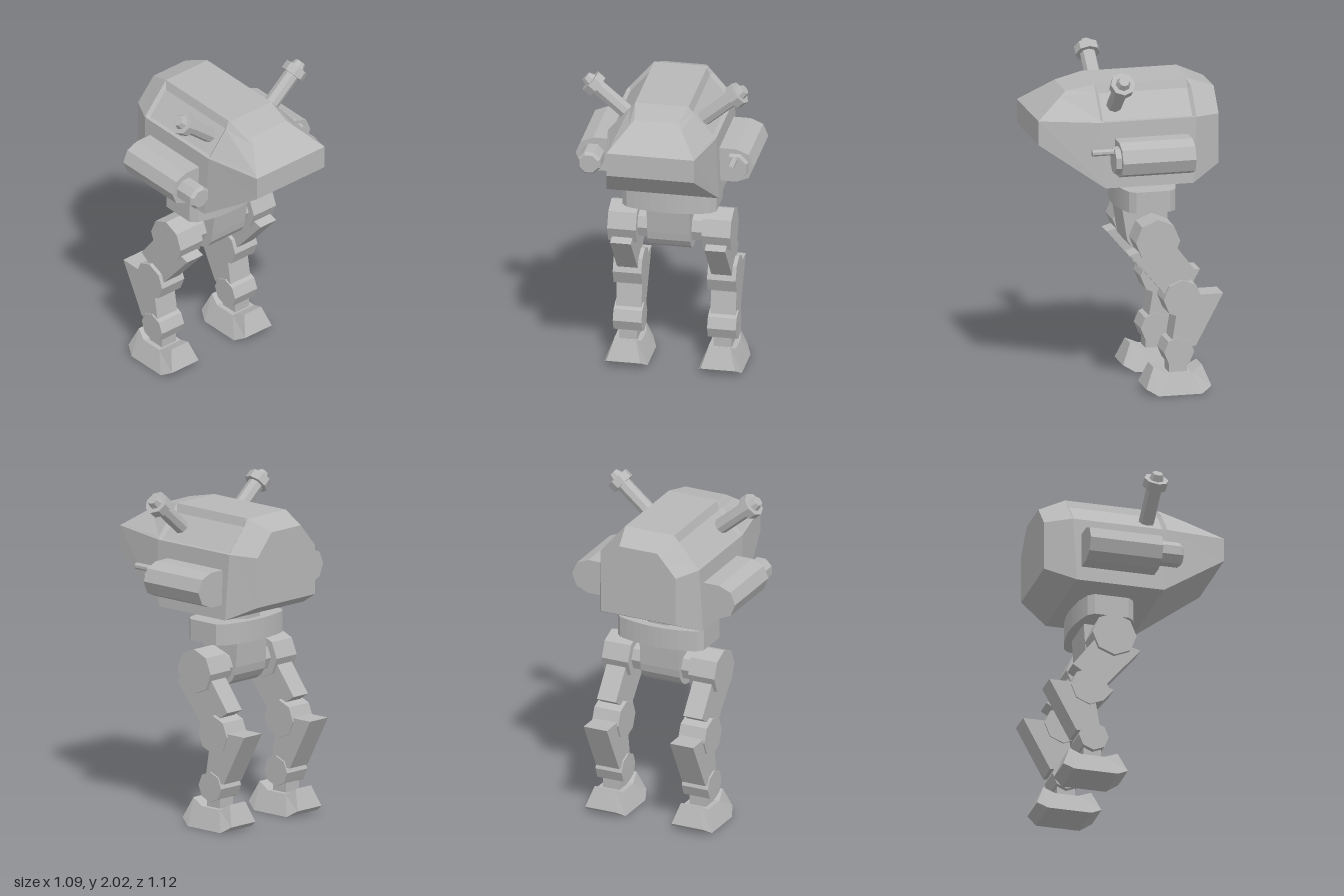
import * as THREE from 'three';

const grey = new THREE.MeshStandardMaterial({ color: 0xb8b8b8, flatShading: true });
grey.name = 'plain grey';

function add(parent, name, geometry, x = 0, y = 0, z = 0) {
  const mesh = new THREE.Mesh(geometry, grey);
  mesh.name = name;
  mesh.position.set(x, y, z);
  parent.add(mesh);
  return mesh;
}

// Skin over cross-sections ordered back to front; each lists its +x half from bottom to top
function loft(halves) {
  const rings = halves.map(h => [...h, ...h.map(([x, y, z]) => [-x, y, z]).reverse()]);
  const pos = [];
  const quad = (a, b, c, d) => pos.push(...a, ...b, ...c, ...a, ...c, ...d);
  const n = rings[0].length;
  for (let i = 0; i < rings.length - 1; i++) {
    for (let j = 0; j < n; j++) {
      const k = (j + 1) % n;
      quad(rings[i][j], rings[i][k], rings[i + 1][k], rings[i + 1][j]);
    }
  }
  const back = rings[0], front = rings[rings.length - 1];
  for (let j = 0; j < n / 2 - 1; j++) {
    quad(front[j], front[j + 1], front[n - 2 - j], front[n - 1 - j]);
    quad(back[n - 1 - j], back[n - 2 - j], back[j + 1], back[j]);
  }
  const g = new THREE.BufferGeometry();
  g.setAttribute('position', new THREE.Float32BufferAttribute(pos, 3));
  g.computeVertexNormals();
  return g;
}

function extrude(points, depth) {
  const shape = new THREE.Shape(points.map(([x, y]) => new THREE.Vector2(x, y)));
  return new THREE.ExtrudeGeometry(shape, { depth, bevelEnabled: false }).translate(0, 0, -depth / 2);
}

// Side profile given as [z, y], centred across x
const sidePlate = (points, width) => extrude(points, width).rotateY(-Math.PI / 2);

// Octagonal joint lying along x
const joint = (r, width) => new THREE.CylinderGeometry(r, r, width, 8).rotateZ(Math.PI / 2);

// Octagonal barrel lying along z
const barrel = (rFront, rBack, length) =>
  new THREE.CylinderGeometry(rFront, rBack, length, 8).rotateY(Math.PI / 8).rotateX(Math.PI / 2);

function buildHull() {
  const mix = (a, b, t) => a.map((v, i) => v + (b[i] - v) * t);
  // section with two extra points on the slanted shoulder, pushed in by the recess
  const section = (bottom, mid, top, recess = 0) => {
    const sink = ([x, y, z]) => [x - 0.77 * recess, y - 0.64 * recess, z];
    return [bottom, mid, sink(mix(mid, top, 0.07)), sink(mix(mid, top, 0.8)), top];
  };
  const mainSection = (zBottom, z, recess) =>
    section([0.343, 1.29, zBottom], [0.33, 1.695, z], [0.163, 1.89, z], recess);
  return loft([
    section([0.25, 1.38, -0.557], [0.25, 1.685, -0.557], [0.127, 1.825, -0.557]),
    mainSection(-0.377, -0.4),
    mainSection(-0.36, -0.38, 0.02),
    mainSection(0.15, 0.17, 0.02),
    mainSection(0.165, 0.19),
    section([0.267, 1.565, 0.56], [0.267, 1.712, 0.56], [0.135, 1.855, 0.36])
  ]);
}

function buildLeg() {
  const leg = new THREE.Group();
  add(leg, 'hipJoint', joint(0.137, 0.175), 0, 0.945, -0.152);
  add(leg, 'thigh', sidePlate(
    [[0.015, 0.865], [-0.21, 0.6], [-0.405, 0.725], [-0.25, 0.93], [-0.1, 0.9]], 0.126));
  add(leg, 'kneeJoint', joint(0.118, 0.175), 0, 0.58, -0.305);
  add(leg, 'shin', sidePlate(
    [[-0.27, 0.6], [-0.556, 0.6], [-0.387, 0.285], [-0.235, 0.285], [-0.265, 0.47]], 0.155));
  add(leg, 'ankleJoint', joint(0.093, 0.175), 0, 0.255, -0.282);
  add(leg, 'anklePost', new THREE.BoxGeometry(0.11, 0.12, 0.11), 0, 0.16, -0.282);
  add(leg, 'foot', loft([
    [[0.105, 0.04, -0.477], [0.066, 0.165, -0.427]],
    [[0.134, 0, -0.415], [0.085, 0.125, -0.36]],
    [[0.134, 0, -0.145], [0.085, 0.125, -0.215]],
    [[0.105, 0.04, -0.075], [0.066, 0.165, -0.128]]
  ]));
  return leg;
}

function buildPod(side) {
  const pod = new THREE.Group();
  // flat inner side, half-octagon outer side
  const profile = [[0.3, 1.38]];
  for (let i = 0; i <= 4; i++) {
    const a = -Math.PI / 2 + i * Math.PI / 4;
    profile.push([0.437 + 0.107 * Math.cos(a), 1.487 + 0.107 * Math.sin(a)]);
  }
  profile.push([0.3, 1.594]);
  add(pod, 'podShell', extrude(profile.map(([x, y]) => [x * side, y]), 0.452), 0, 0, -0.122);
  return pod;
}

function buildTopGun() {
  const gun = new THREE.Group();
  add(gun, 'gunTube', new THREE.CylinderGeometry(0.048, 0.048, 0.3, 8), 0, 0.1, 0);
  add(gun, 'gunCollar', new THREE.CylinderGeometry(0.075, 0.075, 0.055, 8), 0, 0.262, 0);
  add(gun, 'gunTip', new THREE.CylinderGeometry(0.032, 0.048, 0.045, 8), 0, 0.305, 0);
  return gun;
}

export function createModel() {
  const model = new THREE.Group();
  model.name = 'walker';

  add(model, 'hull', buildHull());
  add(model, 'neck', new THREE.CylinderGeometry(0.155, 0.155, 0.08, 8).rotateY(Math.PI / 8), 0, 1.26, -0.142);

  // Waist ring: bowed front and back, chamfered flat ends
  const arc = [];
  for (let i = 0; i <= 10; i++) {
    const x = 0.255 - i * 0.051;
    arc.push([x, 0.187 - 0.045 * (x / 0.255) ** 2]);
  }
  const outline = [[0.287, 0.105], ...arc, [-0.287, 0.105]];
  outline.push(...outline.map(([x, z]) => [-x, -z]));
  add(model, 'waistRing', extrude(outline, 0.13).rotateX(Math.PI / 2), 0, 1.17, -0.145);

  // Pelvis with a rounded bottom
  const pelvis = [[0.01, 1.105]];
  for (let i = 0; i <= 8; i++) {
    const a = -i * Math.PI / 8;
    pelvis.push([-0.14 + 0.125 * Math.cos(a), 0.945 + 0.127 * Math.sin(a)]);
  }
  pelvis.push([-0.275, 1.105]);
  add(model, 'pelvis', sidePlate(pelvis, 0.26));
  add(model, 'hipAxle', joint(0.09, 0.45), 0, 0.945, -0.152);

  for (const [side, label] of [[1, 'left'], [-1, 'right']]) {
    const leg = buildLeg();
    leg.name = label + 'Leg';
    leg.position.x = side * 0.288;
    model.add(leg);

    const pod = buildPod(side);
    pod.name = label + 'Pod';
    model.add(pod);

    const gun = buildTopGun();
    gun.name = label + 'TopGun';
    gun.position.set(side * 0.235, 1.775, 0.085);
    gun.rotation.z = -side * 0.87;
    model.add(gun);
  }

  // Left pod carries a thin barrel, right pod a heavy one
  add(model, 'thinBarrelPlate', barrel(0.08, 0.088, 0.035), 0.43, 1.483, 0.12);
  add(model, 'thinBarrel', barrel(0.02, 0.02, 0.14), 0.43, 1.538, 0.2);
  add(model, 'heavyBarrel', barrel(0.075, 0.075, 0.13), -0.438, 1.483, 0.16);
  add(model, 'heavyBarrelMuzzle', barrel(0.06, 0.075, 0.02), -0.438, 1.483, 0.235);

  return model;
}
